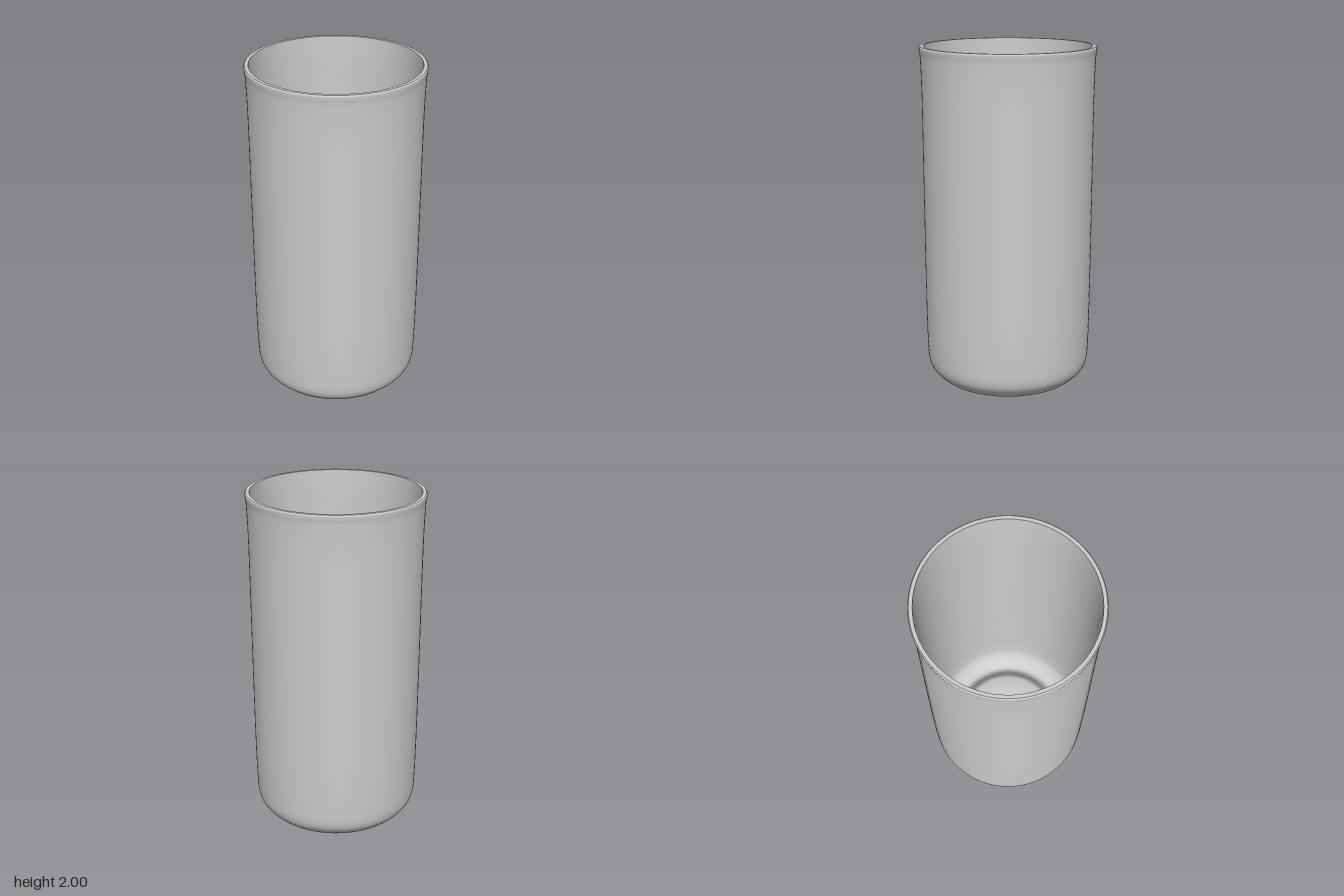
import * as THREE from 'three';

const SEGMENTS = 96;

// Revolve a [radius, height] profile; smooth profiles follow a spline through the points
function revolve(name, profile, material, steps = 0) {
  let pts = profile.map(([r, y]) => new THREE.Vector2(r, y));
  if (steps) {
    const curve = new THREE.CatmullRomCurve3(pts.map(p => new THREE.Vector3(p.x, p.y, 0)), false, 'centripetal');
    pts = curve.getPoints(steps).map(p => new THREE.Vector2(Math.max(0, p.x), Math.max(0, p.y)));
  }
  const mesh = new THREE.Mesh(new THREE.LatheGeometry(pts, SEGMENTS), material);
  mesh.name = name;
  return mesh;
}

export function createModel() {
  const group = new THREE.Group();
  group.name = 'beaker';
  const grey = new THREE.MeshStandardMaterial({ color: 0xcccccc });
  grey.name = 'light grey';

  // Hollow pushed up into the underside
  group.add(revolve('baseRecess', [
    [0, 0.135], [0.12, 0.134], [0.2, 0.128], [0.24, 0.108], [0.265, 0.07], [0.287, 0.003],
  ], grey, 30));

  // Standing ring, rounded heel, gently tapered wall and flared lip
  group.add(revolve('outerWall', [
    [0.287, 0.003], [0.32, 0], [0.36, 0.002], [0.4, 0.014], [0.437, 0.043], [0.468, 0.08],
    [0.482, 0.12], [0.488, 0.2], [0.492, 0.4], [0.494, 0.7], [0.495, 1.2], [0.496, 1.7],
    [0.499, 1.86], [0.503, 1.95], [0.507, 1.98], [0.507, 1.994], [0.502, 2],
  ], grey, 90));

  // Flat top of the lip
  group.add(revolve('rim', [[0.502, 2], [0.482, 2]], grey));

  // Inner wall running down into the trough and over the raised floor
  group.add(revolve('innerWall', [
    [0.482, 2], [0.479, 1.9], [0.478, 1.2], [0.475, 0.5], [0.47, 0.22], [0.458, 0.13],
    [0.43, 0.085], [0.4, 0.058], [0.37, 0.05], [0.345, 0.063], [0.315, 0.105],
    [0.285, 0.143], [0.24, 0.155], [0.12, 0.16], [0, 0.16],
  ], grey, 90));

  return group;
}
